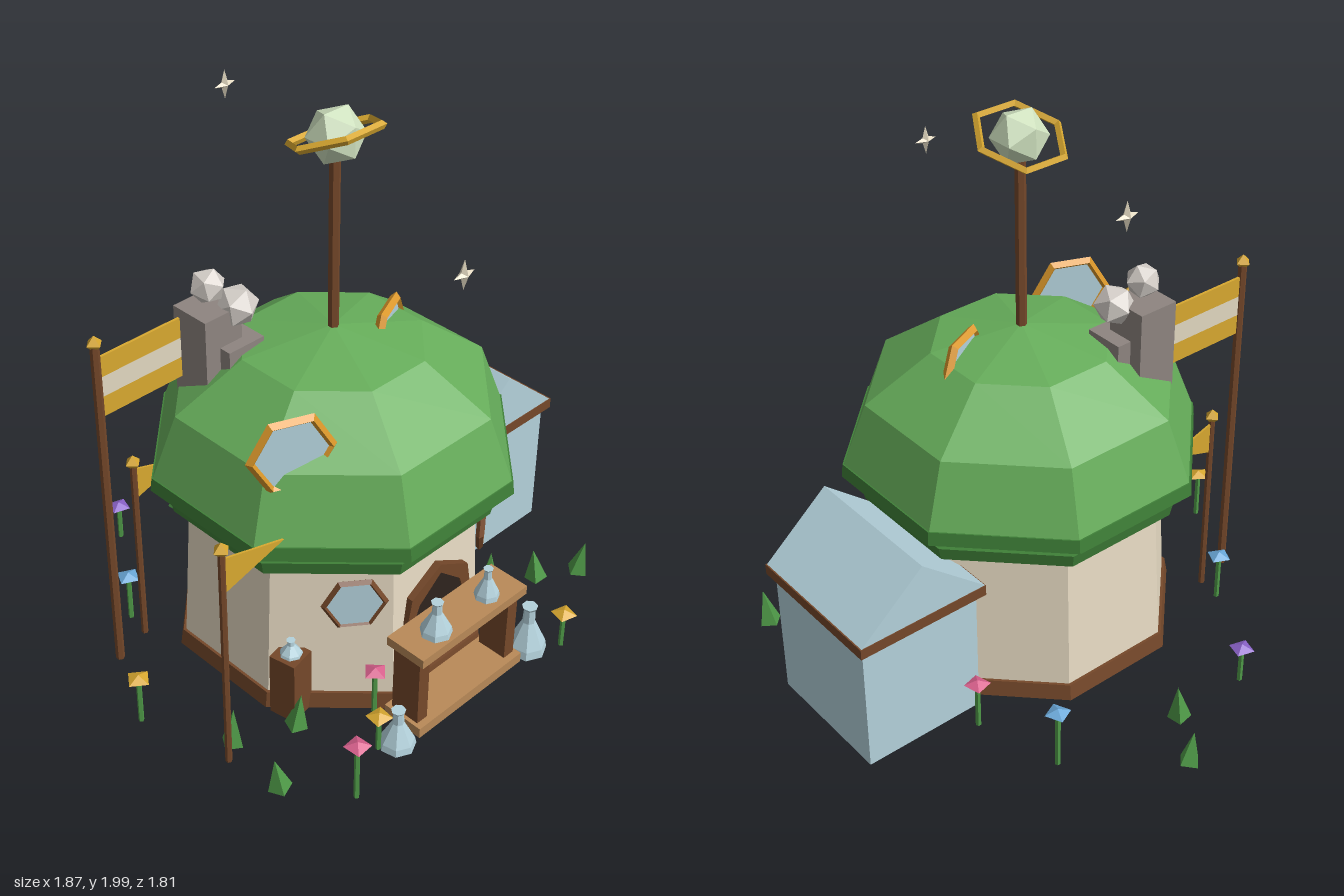
import * as THREE from 'three';

const C = {
  leaf: 0x4f9a48, roof: 0x66ad5a, eave: 0x3f8038, wall: 0xe8dcc4, brown: 0x75482a, plank: 0xb98a58,
  dark: 0x2e241e, glass: 0xb4d2dc, gold: 0xd8a830, orange: 0xd9962a, stone: 0x8e8580, smoke: 0xd4cec8,
  orb: 0xd0e2c0, cream: 0xe2d8c0, pink: 0xd8608c, blue: 0x6aa8d8, purple: 0x8a62c8,
};
const mats = {};
const mat = (name) => (mats[name] ??= new THREE.MeshStandardMaterial({
  color: C[name], flatShading: true, side: THREE.DoubleSide,
}));

export function createModel() {
  const model = new THREE.Group();
  const CX = -0.02, CZ = 0.13;
  const K = 1 / Math.cos(Math.PI / 8); // apothem to corner radius

  const add = (name, geo, color, x = 0, y = 0, z = 0, parent = model) => {
    const m = new THREE.Mesh(geo, mat(color));
    m.name = name;
    m.position.set(x, y, z);
    parent.add(m);
    return m;
  };
  // box given by its min and max corners
  const box = (name, color, x0, x1, y0, y1, z0, z1) =>
    add(name, new THREE.BoxGeometry(x1 - x0, y1 - y0, z1 - z0), color, (x0 + x1) / 2, (y0 + y1) / 2, (z0 + z1) / 2);
  // octagonal ring of the house, by apothem
  const octagon = (name, color, aBottom, aTop, y0, y1) =>
    add(name, new THREE.CylinderGeometry(aTop * K, aBottom * K, y1 - y0, 8), color, CX, (y0 + y1) / 2, CZ).rotation.y = Math.PI / 8;
  const post = (name, color, r, x, y0, y1, z, sides = 6, parent = model) =>
    add(name, new THREE.CylinderGeometry(r, r, y1 - y0, sides), color, x, (y0 + y1) / 2, z, parent);
  const polygon = (pts) => new THREE.Shape(pts.map((p) => new THREE.Vector2(...p)));
  const extrude = (shape, depth) => new THREE.ExtrudeGeometry(shape, { depth, bevelEnabled: false });

  // House body
  octagon('baseTrim', 'brown', 0.53, 0.52, 0.02, 0.08);
  octagon('walls', 'wall', 0.51, 0.48, 0.08, 0.64);
  octagon('lowerEave', 'eave', 0.53, 0.54, 0.62, 0.67);
  octagon('eaveNeck', 'roof', 0.51, 0.51, 0.67, 0.73);
  octagon('upperEave', 'eave', 0.6, 0.595, 0.73, 0.78);
  const dome = add('domeRoof', new THREE.SphereGeometry(0.59 * K, 8, 3, 0, Math.PI * 2, 0, Math.PI / 2), 'roof', CX, 0.78, CZ);
  dome.rotation.y = Math.PI / 8;
  dome.scale.y = 0.45 / (0.59 * K);

  // Hexagonal windows: frame and pane
  const hexWindow = (name, color, r, tube, x, y, z, turn, roll = 0) => {
    const g = new THREE.Group();
    g.name = name;
    g.position.set(x, y, z);
    g.rotation.set(0, turn, roll);
    add('frame', new THREE.TorusGeometry(r, tube, 4, 6), color, 0, 0, 0, g);
    add('pane', new THREE.CylinderGeometry(r, r, 0.012, 6).rotateY(Math.PI / 6).rotateX(Math.PI / 2), 'glass', 0, 0, 0, g)
      .rotation.z = 0;
    // line the pane corners up with the frame corners
    g.children[1].geometry.rotateZ(0);
    model.add(g);
  };
  for (const s of [-1, 1]) {
    const a = s * 0.64;
    hexWindow('wallWindow', 'brown', 0.1, 0.013, CX + 0.525 * Math.sin(a), 0.485, CZ + 0.525 * Math.cos(a), a);
  }
  hexWindow('roofWindow', 'orange', 0.135, 0.018, -0.46, 1.075, 0.39, -0.38);
  hexWindow('roofWindow', 'orange', 0.135, 0.018, 0.19, 1.11, 0.18, 0.43);

  // Arched doorway
  const inner = [[-0.125, 0.06], [0.125, 0.06], [0.125, 0.33], [0.1, 0.4], [0, 0.485], [-0.1, 0.4], [-0.125, 0.33]];
  add('doorOpening', extrude(polygon(inner), 0.03), 'dark', CX, 0, 0.61);
  add('doorArch', extrude(polygon([
    [0.155, 0.28], [0.155, 0.35], [0.137, 0.444], [0, 0.52], [-0.137, 0.444], [-0.155, 0.35], [-0.155, 0.28],
    [-0.125, 0.28], [-0.125, 0.33], [-0.1, 0.4], [0, 0.485], [0.1, 0.4], [0.125, 0.33], [0.125, 0.28],
  ]), 0.055), 'brown', CX, 0, 0.59);

  // Counter in front of the door
  box('counterTop', 'plank', -0.28, 0.24, 0.335, 0.37, 0.65, 0.81);
  box('counterFoot', 'plank', -0.28, 0.24, 0.02, 0.06, 0.65, 0.81);
  for (const x of [-0.242, 0.202]) box('counterLeg', 'brown', x - 0.024, x + 0.024, 0.06, 0.335, 0.67, 0.785);

  // Side stand
  box('sideStand', 'brown', -0.54, -0.44, 0.02, 0.27, 0.36, 0.46).rotation.y = 0.2;

  // Flasks
  const flask = (x, y, z, r, h) => add('flask', new THREE.LatheGeometry([
    [0, 0], [r, 0], [r * 0.92, h * 0.16], [r * 0.32, h * 0.65], [r * 0.28, h * 0.93], [r * 0.4, h], [0, h],
  ].map((p) => new THREE.Vector2(...p)), 7), 'glass', x, y, z);
  flask(-0.148, 0.37, 0.745, 0.056, 0.13);
  flask(0.105, 0.37, 0.745, 0.045, 0.12);
  flask(-0.35, 0.02, 0.775, 0.064, 0.155);
  flask(0.31, 0.02, 0.78, 0.072, 0.195);
  flask(-0.487, 0.27, 0.41, 0.04, 0.06);

  // Glass annex
  box('annexWalls', 'glass', 0.455, 0.915, 0.02, 0.52, -0.205, 0.305);
  box('annexTrim', 'brown', 0.435, 0.938, 0.52, 0.56, -0.235, 0.327);
  add('annexRoof', extrude(polygon([[-0.248, 0], [0.248, 0], [0, 0.21]]), 0.556), 'glass', 0.685, 0.56, -0.232);

  // Chimney and smoke
  box('chimney', 'stone', -0.41, -0.255, 0.95, 1.32, -0.21, -0.055);
  box('chimneyStep', 'stone', -0.35, -0.2, 0.95, 1.2, -0.16, -0.01);
  add('smokePuff', new THREE.IcosahedronGeometry(0.063), 'smoke', -0.33, 1.395, -0.13).rotation.set(0.3, 0.4, 0.2);
  add('smokePuff', new THREE.IcosahedronGeometry(0.074), 'smoke', -0.25, 1.31, -0.08).rotation.set(0.5, 0.2, 0.4);

  // Mast with ringed orb
  post('mast', 'brown', 0.019, CX, 1.18, 1.86, CZ);
  add('orb', new THREE.IcosahedronGeometry(0.098), 'orb', CX, 1.915, CZ + 0.003);
  add('orbRing', new THREE.TorusGeometry(0.155, 0.014, 4, 6), 'gold', CX, 1.915, CZ).rotation.x = 1.19;

  // Flagpoles
  const flagpole = (x, z, top, r) => {
    post('flagpole', 'brown', r, x, 0.02, top, z);
    add('finial', new THREE.OctahedronGeometry(0.03), 'gold', x, top, z);
  };
  const pennant = (x, y, z, len, h) =>
    add('pennant', extrude(polygon([[0, -h / 2], [len, 0], [0, h / 2]]), 0.008), 'gold', x, y, z - 0.004);
  flagpole(-0.75, -0.185, 1.34, 0.016);
  ['gold', 'cream', 'gold'].forEach((c, i) =>
    box('bannerStripe', c, -0.735, -0.4, 1.06 + i * 0.075, 1.135 + i * 0.075, -0.19, -0.18));
  flagpole(-0.8, 0.44, 0.92, 0.012);
  pennant(-0.79, 0.815, 0.44, 0.245, 0.135);
  flagpole(-0.605, -0.225, 0.78, 0.012);
  pennant(-0.595, 0.69, -0.225, 0.19, 0.12);

  // Floating four-point stars
  for (const [x, y, z] of [[-0.065, 1.685, 0.705], [0.035, 1.875, -0.435]]) {
    for (const [w, h] of [[0.016, 0.052], [0.045, 0.014]])
      add('star', new THREE.OctahedronGeometry(1), 'cream', x, y, z).scale.set(w, h, 0.017);
  }

  // Flowers: stem and flattened head
  const flowers = [
    ['purple', -0.33, 0.165, -0.7], ['blue', 0.43, 0.25, -0.6], ['blue', -0.59, 0.21, -0.32],
    ['pink', 0.52, 0.205, -0.285], ['gold', -0.89, 0.21, 0.1], ['pink', -0.61, 0.25, 0.84],
    ['pink', -0.3, 0.205, 0.62], ['gold', -0.41, 0.165, 0.745], ['gold', 0.31, 0.165, 0.68],
    ['gold', 0.41, 0.165, 0.855],
  ];
  flowers.forEach(([c, x, y, z], i) => {
    post('flowerStem', 'leaf', 0.01, x, 0.02, y, z, 5);
    const head = add('flowerHead', new THREE.OctahedronGeometry(0.046), c, x, y, z);
    head.scale.y = 0.4;
    head.rotation.y = 0.5 + i * 0.7;
  });

  // Grass spikes: slightly leaning four-sided cones
  const spikes = [[0.07, -0.87], [-0.04, -0.69], [-0.73, 0.385], [-0.76, 0.63], [-0.52, 0.48],
    [0.48, 0.46], [0.63, 0.55], [0.78, 0.65], [0.3, 0.64]];
  spikes.forEach(([x, z], i) => {
    const h = 0.125 + (i % 3) * 0.013;
    add('grassSpike', new THREE.ConeGeometry(0.042, h, 4), 'leaf', x, 0.01 + h / 2, z)
      .rotation.set(0.13 * Math.sin(i * 2), i * 0.9, 0.13 * Math.cos(i * 3));
  });

  return model;
}
